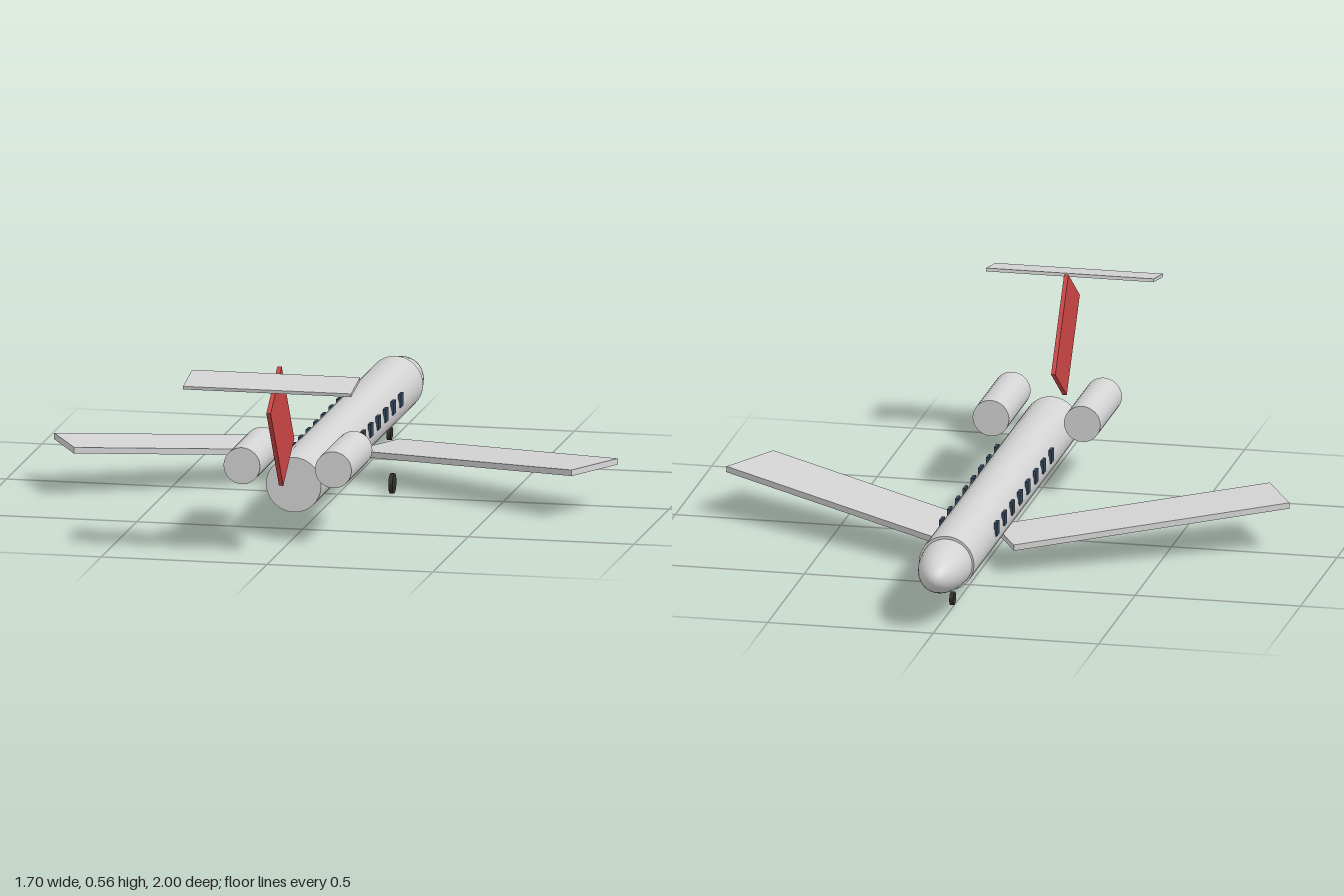
import * as THREE from 'three';

export function createModel() {
  const model = new THREE.Group();
  model.name = 'jet';

  const material = (name, color) => {
    const m = new THREE.MeshStandardMaterial({ color });
    m.name = name;
    return m;
  };
  const bodyGrey = material('body grey', 0xd3d3d3);
  const finRed = material('fin red', 0xcc4444);
  const windowBlue = material('window blue', 0x34495e);
  const tyreBlack = material('tyre black', 0x2e2e2e);

  const add = (name, geometry, mat, x, y, z) => {
    const mesh = new THREE.Mesh(geometry, mat);
    mesh.name = name;
    mesh.position.set(x, y, z);
    model.add(mesh);
    return mesh;
  };
  // Cylinder lying along z
  const tubeZ = (r, length) => new THREE.CylinderGeometry(r, r, length, 32).rotateX(Math.PI / 2);
  // Wheel with its axle along x
  const wheel = (r, width) => new THREE.CylinderGeometry(r, r, width, 20).rotateZ(Math.PI / 2);

  // Fuselage and rounded nose, pointing to -z
  add('fuselage', tubeZ(0.083, 1.441), bodyGrey, 0, 0.162, -0.096);
  const nose = new THREE.SphereGeometry(1, 32, 24).rotateX(Math.PI / 2).scale(0.078, 0.076, 0.2);
  add('nose', nose, bodyGrey, 0, 0.161, -0.8);

  for (const side of [1, -1]) {
    const label = side > 0 ? 'left' : 'right';

    // Swept wing with a slight dihedral
    const wing = add(label + 'Wing', new THREE.BoxGeometry(0.848, 0.018, 0.212), bodyGrey,
      side * 0.4285, 0.114, -0.082);
    wing.rotation.order = 'YZX';
    wing.rotation.set(0, side * -0.494, side * 0.07);

    // Engine beside the tail
    add(label + 'Engine', tubeZ(0.055, 0.295), bodyGrey, side * 0.138, 0.231, 0.563);

    // Row of cabin windows
    for (let i = 0; i < 8; i++) {
      add(label + 'Window', new THREE.BoxGeometry(0.009, 0.04, 0.036), windowBlue,
        side * 0.0825, 0.182, 0.243 - i * 0.1067);
    }

    add(label + 'MainWheel', wheel(0.03, 0.012), tyreBlack, side * 0.155, 0.031, -0.045);
  }
  add('noseWheel', wheel(0.02, 0.012), tyreBlack, 0, 0.029, -0.733);

  // Leaning fin and tilted tailplane
  add('tailFin', new THREE.BoxGeometry(0.013, 0.312, 0.191), finRed, 0, 0.379, 0.812).rotation.x = 0.61;
  add('tailplane', new THREE.BoxGeometry(0.507, 0.01, 0.13), bodyGrey, 0, 0.534, 0.935).rotation.x = 0.175;

  return model;
}
